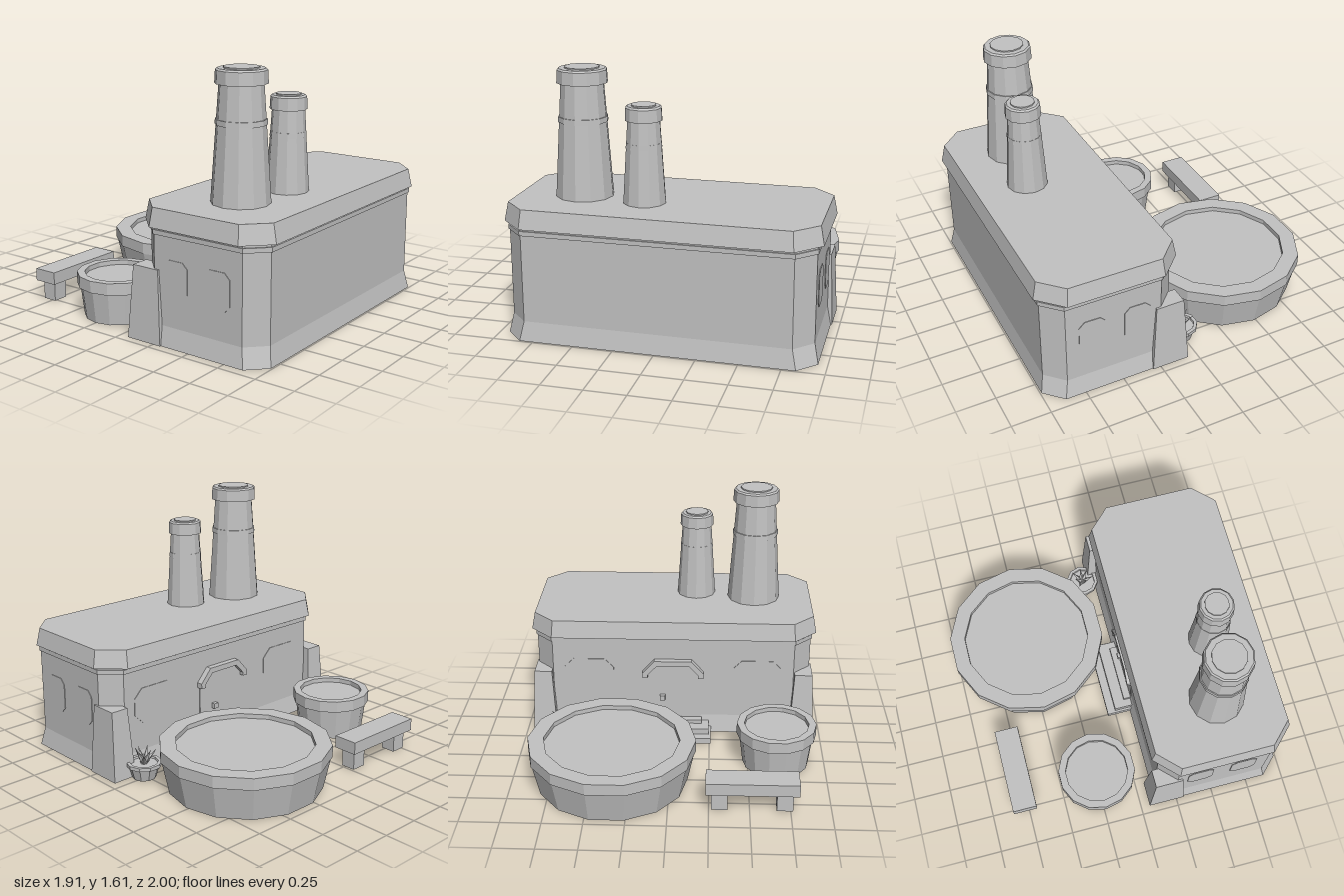
import * as THREE from 'three';

const stone = new THREE.MeshStandardMaterial({ color: 0xc2c2c2 });
stone.name = 'grey stone';
stone.flatShading = true;
stone.side = THREE.DoubleSide; // several bands are open underneath

function add(parent, name, geometry, x = 0, y = 0, z = 0) {
  const mesh = new THREE.Mesh(geometry, stone);
  mesh.name = name;
  mesh.position.set(x, y, z);
  parent.add(mesh);
  return mesh;
}

const box = (w, h, d) => new THREE.BoxGeometry(w, h, d);

// Outline of a rectangle with cut corners, counter-clockwise from above
function octagon(hx, z0, z1, c) {
  return [
    [hx, z1 - c], [hx, z0 + c], [hx - c, z0], [c - hx, z0],
    [-hx, z0 + c], [-hx, z1 - c], [c - hx, z1], [hx - c, z1],
  ];
}

const rect = (x0, x1, z0, z1) => [[x1, z1], [x1, z0], [x0, z0], [x0, z1]];

// Joins a lower and an upper outline, with optional end caps
function loft(low, y0, high, y1, capped = true) {
  const n = low.length;
  const pos = [];
  low.forEach(([x, z]) => pos.push(x, y0, z));
  high.forEach(([x, z]) => pos.push(x, y1, z));
  const index = [];
  for (let i = 0; i < n; i++) {
    const j = (i + 1) % n;
    index.push(i, j, n + j, i, n + j, n + i);
    if (capped && i > 0 && i < n - 1) index.push(n, n + i, n + i + 1, 0, i + 1, i);
  }
  const g = new THREE.BufferGeometry();
  g.setAttribute('position', new THREE.Float32BufferAttribute(pos, 3));
  g.setIndex(index);
  g.computeVertexNormals();
  return g;
}

function lathe(points, sides) {
  return new THREE.LatheGeometry(points.map(([r, y]) => new THREE.Vector2(r, y)), sides, Math.PI / 2);
}

// Thin plate with cut upper (and optionally lower) corners
function plate(w, h, c, lowC = c, depth = 0.008) {
  const s = new THREE.Shape();
  const x = w / 2, y = h / 2;
  s.moveTo(-x + lowC, -y);
  s.lineTo(x - lowC, -y);
  if (lowC) s.lineTo(x, -y + lowC);
  s.lineTo(x, y - c);
  s.lineTo(x - c, y);
  s.lineTo(-x + c, y);
  s.lineTo(-x, y - c);
  if (lowC) s.lineTo(-x, -y + lowC);
  s.closePath();
  const g = new THREE.ExtrudeGeometry(s, { depth, bevelEnabled: false });
  g.translate(0, 0, -depth / 2);
  return g;
}

function chimney(name, x, z, r, rTop, rCap, ringR, ringY, capY, topY, rHole) {
  const g = new THREE.Group();
  g.name = name;
  g.position.set(x, 0, z);
  add(g, 'chimneyShaft', lathe([[r, 0.82], [rTop, capY]], 12));
  add(g, 'chimneyRing', lathe([[0, ringY], [ringR, ringY], [ringR - 0.002, ringY + 0.032], [0, ringY + 0.032]], 12));
  add(g, 'chimneyCap', lathe([[0, capY], [rCap, capY], [rCap - 0.004, topY - 0.01],
    [rCap - 0.014, topY], [rHole, topY], [rHole, topY + 0.008], [0, topY + 0.008]], 12));
  return g;
}

// Tapered tub: open lower wall and a rim around a sunken surface
function tub(name, x, z, rBottom, rBody, rRim, rInner, rimY, topY) {
  const g = new THREE.Group();
  g.name = name;
  g.position.set(x, 0, z);
  add(g, 'tubWall', lathe([[rBottom, 0], [rBody, rimY]], 14));
  add(g, 'tubRim', lathe([[0, rimY], [rRim, rimY], [rRim, topY], [rInner, topY],
    [rInner, topY - 0.03], [0, topY - 0.03]], 14));
  return g;
}

export function createModel() {
  const model = new THREE.Group();
  model.name = 'building';

  // Main block
  const wall = octagon(0.92, 0.13, 0.97, 0.112);
  add(model, 'baseSkirt', loft(octagon(0.945, 0.105, 0.992, 0.112), 0, wall, 0.12, false));
  add(model, 'walls', loft(wall, 0.12, wall, 0.706));
  const band = octagon(0.927, 0.122, 0.978, 0.115);
  add(model, 'wallBand', loft(band, 0.66, band, 0.688));
  add(model, 'roof', loft(octagon(0.954, 0.085, 1.0, 0.148), 0.705, octagon(0.932, 0.107, 0.975, 0.135), 0.82));

  // Chimneys
  model.add(chimney('largeChimney', -0.54, 0.578, 0.177, 0.13, 0.154, 0.152, 1.277, 1.51, 1.597, 0.105));
  model.add(chimney('smallChimney', -0.145, 0.642, 0.13, 0.098, 0.112, 0.11, 1.153, 1.317, 1.402, 0.075));

  for (const s of [-1, 1]) {
    // Rear corner buttresses
    const span = (a, b, z0, z1) => (s > 0 ? rect(a, b, z0, z1) : rect(-b, -a, z0, z1));
    add(model, 'buttress', loft(span(0.79, 0.953, 0.06, 0.302), 0, span(0.815, 0.932, 0.092, 0.275), 0.452));
    // Side and rear windows
    for (const z of [0.69, 0.398]) {
      add(model, 'sideWindow', plate(0.17, 0.23, 0.035), s * 0.92, 0.41, z).rotation.y = Math.PI / 2;
    }
    add(model, 'rearWindow', plate(0.33, 0.23, 0.06), s * 0.565, 0.42, 0.13);
  }

  // Rear door with angular hood and steps
  add(model, 'door', plate(0.38, 0.42, 0.08, 0), 0, 0.30, 0.128);
  const hood = new THREE.Shape([
    [-0.205, 0.415], [-0.205, 0.45], [-0.125, 0.54], [0.125, 0.54], [0.205, 0.45], [0.205, 0.415],
    [0.17, 0.415], [0.17, 0.437], [0.108, 0.505], [-0.108, 0.505], [-0.17, 0.437], [-0.17, 0.415],
  ].map(([x, y]) => new THREE.Vector2(x, y)));
  add(model, 'doorHood', new THREE.ExtrudeGeometry(hood, { depth: 0.04, bevelEnabled: false }), 0, 0, 0.09);
  add(model, 'doorKnob', box(0.035, 0.035, 0.03), 0.07, 0.26, 0.112);
  add(model, 'lowerStep', box(0.52, 0.04, 0.18), 0, 0.02, 0.035);
  add(model, 'upperStep', box(0.49, 0.04, 0.125), 0, 0.06, 0.0625);
  add(model, 'doorSill', box(0.39, 0.025, 0.06), 0, 0.0925, 0.105);

  // Large pool and small tub
  model.add(tub('largePool', 0.365, -0.485, 0.48, 0.525, 0.532, 0.431, 0.21, 0.285));
  model.add(tub('smallTub', -0.683, -0.247, 0.215, 0.24, 0.257, 0.209, 0.205, 0.28));

  // Bench
  const bench = new THREE.Group();
  bench.name = 'bench';
  bench.position.set(-0.515, 0, -0.774);
  add(bench, 'benchSeat', box(0.57, 0.08, 0.16), 0, 0.165, 0);
  for (const s of [-1, 1]) add(bench, 'benchLeg', box(0.1, 0.125, 0.095), s * 0.2, 0.0625, 0);
  model.add(bench);

  // Potted plant with pointed leaves
  const plant = new THREE.Group();
  plant.name = 'pottedPlant';
  plant.position.set(0.757, 0, 0.015);
  add(plant, 'pot', lathe([[0, 0], [0.075, 0], [0.098, 0.08], [0.112, 0.08], [0.112, 0.103],
    [0.09, 0.103], [0.088, 0.09], [0, 0.09]], 10));
  for (let i = 0; i < 7; i++) {
    const pivot = new THREE.Group();
    pivot.name = 'leafPivot';
    pivot.position.y = 0.09;
    pivot.rotation.y = (i / 7) * Math.PI * 2;
    const leaf = new THREE.ConeGeometry(0.02, 0.12, 4);
    leaf.translate(0, 0.06, 0);
    add(pivot, 'leaf', leaf).rotation.z = i % 2 ? -0.75 : -0.5;
    plant.add(pivot);
  }
  model.add(plant);

  return model;
}
